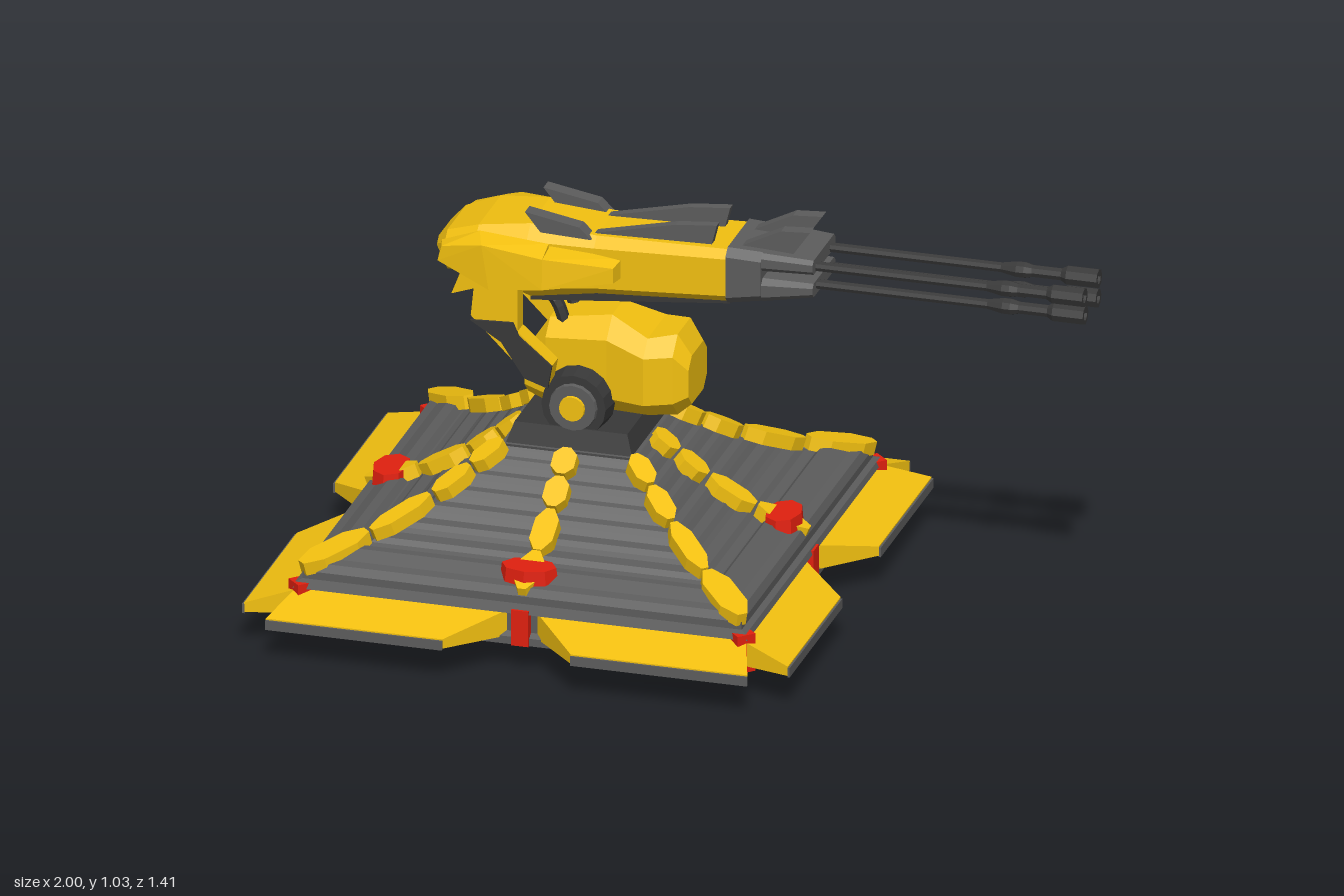
import * as THREE from 'three';
import { ConvexGeometry } from 'three/addons/geometries/ConvexGeometry.js';

const mat = (color) => new THREE.MeshStandardMaterial({ color, flatShading: true });
const V = (x, y, z) => new THREE.Vector3(x, y, z);

export function createModel() {
  const yellow = mat(0xf2c010), grey = mat(0x5c5c5c), dark = mat(0x383838), red = mat(0xe0200f);
  const model = new THREE.Group();
  model.name = 'turret';

  const add = (parent, name, geo, material) => {
    const m = new THREE.Mesh(geo, material);
    m.name = name;
    parent.add(m);
    return m;
  };
  const hull = (parent, name, pts, material) =>
    add(parent, name, new ConvexGeometry(pts.map((p) => V(...p))), material);

  // square stepped solid from [half width, y] points, bottom to top
  const squareLathe = (parent, name, profile, material) =>
    add(parent, name, new THREE.LatheGeometry(
      profile.map(([r, y]) => new THREE.Vector2(r * Math.SQRT2, y)), 4, Math.PI / 4), material);

  // chamfered box loft along x from [x, bottom, top, half width, chamfer]
  const loft = (parent, name, sections, material) => {
    const rings = sections.map(([x, y0, y1, w, c]) => [
      [y1, c - w], [y1, w - c], [y1 - c, w], [y0 + c, w],
      [y0, w - c], [y0, c - w], [y0 + c, -w], [y1 - c, -w]].map(([y, z]) => V(x, y, z)));
    const pts = [], last = rings[rings.length - 1];
    for (let k = 0; k < rings.length - 1; k++) for (let i = 0; i < 8; i++) {
      const j = (i + 1) % 8, a = rings[k], b = rings[k + 1];
      pts.push(a[i], a[j], b[i], a[j], b[j], b[i]);
    }
    for (let i = 1; i < 7; i++) {
      pts.push(last[0], last[i], last[i + 1], rings[0][0], rings[0][i + 1], rings[0][i]);
    }
    const g = new THREE.BufferGeometry().setFromPoints(pts);
    g.computeVertexNormals();
    return add(parent, name, g, material);
  };

  // side profile in xy given a thickness from z0 to z1
  const slab = (parent, name, outline, z0, z1, material) => {
    const g = new THREE.ExtrudeGeometry(
      new THREE.Shape(outline.map(([x, y]) => new THREE.Vector2(x, y))),
      { depth: z1 - z0, bevelEnabled: false });
    g.translate(0, 0, z0);
    return add(parent, name, g, material);
  };

  // ---- base ----
  const base = new THREE.Group();
  base.name = 'base';
  base.position.x = -0.295;
  model.add(base);

  squareLathe(base, 'underside', [[0, 0], [0.415, 0], [0.58, 0.07], [0, 0.07]], dark);
  squareLathe(base, 'skirt', [[0.58, 0.07], [0.58, 0.09], [0.565, 0.1], [0.565, 0.15], [0.585, 0.155],
    [0.58, 0.17], [0.565, 0.175], [0.565, 0.195], [0.555, 0.215], [0.53, 0.22], [0.495, 0.24],
    [0.47, 0.24], [0.455, 0.225], [0, 0.225]], grey);
  const steps = [[0.45, 0.225]];
  const treads = [[0.43, 0.245], [0.375, 0.27], [0.325, 0.3], [0.28, 0.33], [0.24, 0.36], [0.2, 0.39], [0.165, 0.42]];
  treads.forEach(([r, y], i) => {
    const next = treads[i + 1] || [0.16, 0.42];
    steps.push([r, y - 0.012], [r - 0.012, y], [next[0] + 0.012, y + 0.004]);
  });
  squareLathe(base, 'steppedPyramid', [...steps, [0, 0.42]], grey);
  squareLathe(base, 'pedestal', [[0.165, 0.415], [0.16, 0.43], [0.145, 0.475], [0, 0.475]], dark);

  // raised hexagonal bead running down the slope
  const bead = (parent, [d0, y0], [d1, y1], w, k, name) => {
    const a = V(0, y0, d0 * k), b = V(0, y1, d1 * k), dir = b.clone().sub(a);
    const n = V(0, -dir.z, dir.y).normalize();
    if (n.y < 0) n.negate();
    const pts = [];
    for (const [t, x] of [[0, 0.35], [0.25, 1], [0.75, 1], [1, 0.35]]) for (const s of [-1, 1])
      for (const h of [-0.015, 0.02])
        pts.push(a.clone().addScaledVector(dir, t).addScaledVector(n, h).add(V(s * x * w, 0, 0)).toArray());
    hull(parent, name, pts, yellow);
  };
  const beads = [[[0.565, 0.2], [0.435, 0.25]], [[0.425, 0.25], [0.31, 0.313]],
    [[0.3, 0.318], [0.23, 0.37]], [[0.225, 0.375], [0.165, 0.42]]];

  for (let q = 0; q < 4; q++) {
    const side = new THREE.Group(), corner = new THREE.Group();
    side.name = 'baseSide';
    corner.name = 'baseCorner';
    side.rotation.y = q * Math.PI / 2;
    corner.rotation.y = side.rotation.y + Math.PI / 4;
    base.add(side, corner);
    beads.forEach(([a, b], i) => {
      bead(side, a, b, 0.03, 1, 'sideBead');
      bead(corner, a, b, i ? 0.028 : 0.038, Math.SQRT2, 'cornerBead');
    });
    add(side, 'redKey', new THREE.BoxGeometry(0.045, 0.095, 0.04), red).position.set(0, 0.118, 0.568);
    add(corner, 'redCornerKey', new THREE.BoxGeometry(0.05, 0.1, 0.05), red).position.set(0, 0.12, 0.8);
    const lamp = add(side, 'redLamp', new THREE.CylinderGeometry(0.07, 0.075, 0.04, 8), red);
    lamp.scale.z = 0.65;
    lamp.position.set(0, 0.235, 0.505);
    // sloping wing panels with a grey rim
    for (const s of [-1, 1]) {
      hull(side, 'wing', [[0.035, 0.085, 0.56], [0.575, 0.085, 0.56], [0.035, 0.155, 0.56], [0.575, 0.155, 0.56],
        [0.165, 0.09, 0.7], [0.62, 0.09, 0.7], [0.165, 0.115, 0.7], [0.62, 0.115, 0.7]]
        .map(([x, y, z]) => [s * x, y, z]), yellow);
      add(side, 'wingRim', new THREE.BoxGeometry(0.455, 0.025, 0.006), grey).position.set(s * 0.3925, 0.099, 0.702);
    }
  }

  // ---- swivel body ----
  const gun = new THREE.Group();
  gun.name = 'gun';
  gun.position.z = -0.01;
  model.add(gun);

  loft(gun, 'swivelBody', [[-0.44, 0.51, 0.63, 0.07, 0.03], [-0.38, 0.49, 0.72, 0.09, 0.04],
    [-0.22, 0.49, 0.745, 0.1, 0.05], [-0.12, 0.5, 0.705, 0.12, 0.04],
    [-0.05, 0.5, 0.715, 0.1, 0.045], [-0.015, 0.53, 0.66, 0.08, 0.03]], yellow);

  for (const s of [-1, 1]) {
    const disc = (name, r, w, z, material) => {
      const m = add(gun, name, new THREE.CylinderGeometry(r * 0.92, r, w, 16), material);
      m.rotation.x = s * Math.PI / 2;
      m.position.set(-0.29, 0.53, s * z);
    };
    disc('pivotWheel', 0.09, 0.06, 0.12, dark);
    disc('pivotRing', 0.065, 0.02, 0.15, grey);
    disc('pivotHub', 0.035, 0.02, 0.158, yellow);

    // lifting arm with dark outer plate
    const arm = [[-0.55, 0.75], [-0.54, 0.85], [-0.43, 0.85], [-0.43, 0.72], [-0.34, 0.64], [-0.35, 0.585], [-0.4, 0.6]];
    const plate = [[-0.55, 0.74], [-0.44, 0.745], [-0.425, 0.71], [-0.34, 0.64], [-0.35, 0.58], [-0.41, 0.6], [-0.47, 0.69]];
    const zr = (a, b) => (s > 0 ? [a, b] : [-b, -a]);
    slab(gun, 'liftArm', arm, ...zr(0.115, 0.165), yellow);
    slab(gun, 'armPlate', plate, ...zr(0.163, 0.172), dark);
    const path = new THREE.CatmullRomCurve3([V(-0.43, 0.8, s * 0.045), V(-0.37, 0.775, s * 0.05), V(-0.34, 0.7, s * 0.045)]);
    add(gun, 'piston', new THREE.TubeGeometry(path, 8, 0.016, 6), dark);

    // side cheek armour
    hull(gun, 'cheekFront', [[-0.36, 0.83, 0.12], [-0.36, 0.94, 0.12], [-0.36, 0.85, 0.19], [-0.36, 0.93, 0.185],
      [-0.18, 0.87, 0.1], [-0.18, 0.92, 0.1], [-0.19, 0.87, 0.145], [-0.19, 0.91, 0.145]]
      .map(([x, y, z]) => [x, y, s * z]), yellow);
    hull(gun, 'cheekRear', [[-0.36, 0.83, 0.135], [-0.36, 0.95, 0.13], [-0.36, 0.85, 0.19], [-0.36, 0.93, 0.185],
      [-0.5, 0.83, 0.13], [-0.54, 0.96, 0.12], [-0.5, 0.83, 0.18], [-0.52, 0.945, 0.175],
      [-0.64, 0.87, 0.11], [-0.64, 0.92, 0.11], [-0.64, 0.88, 0.15], [-0.63, 0.92, 0.15]]
      .map(([x, y, z]) => [x, y, s * z]), yellow);
    slab(gun, 'rearSpur', [[-0.615, 0.78], [-0.53, 0.81], [-0.5, 0.86], [-0.58, 0.87]], ...zr(0.08, 0.115), yellow);

    // roof fins
    slab(gun, 'rearFin', [[-0.43, 1.015], [-0.39, 0.965], [-0.26, 0.96], [-0.29, 0.99]], ...zr(0.06, 0.1), grey);
    slab(gun, 'middleFin', [[-0.27, 0.965], [0.04, 0.965], [0.055, 1.025], [-0.05, 1.015]], ...zr(0.045, 0.07), grey);
    slab(gun, 'frontFin', [[0.1, 0.97], [0.25, 0.97], [0.295, 1.035], [0.22, 1.03]], ...zr(0.035, 0.07), grey);

    // twin barrels, stepped at the muzzle
    for (const [y, z] of [[0.945, 0.062], [0.895, 0.056]]) {
      const profile = [[0, 0.15], [0.013, 0.15], [0.013, 0.75], [0.021, 0.79], [0.021, 0.81], [0.016, 0.83],
        [0.016, 0.905], [0.025, 0.92], [0.025, 1.0], [0.014, 1.0], [0.014, 0.96], [0, 0.96]];
      const b = add(gun, 'barrel', new THREE.LatheGeometry(profile.map((p) => new THREE.Vector2(...p)), 8), dark);
      b.rotation.z = -Math.PI / 2;
      b.position.set(0, y, s * z);
    }
  }

  // ---- gun head ----
  loft(gun, 'head', [[-0.665, 0.87, 0.905, 0.07, 0.015], [-0.635, 0.83, 0.935, 0.105, 0.025],
    [-0.55, 0.84, 0.965, 0.125, 0.03], [-0.42, 0.785, 0.98, 0.12, 0.035],
    [-0.25, 0.81, 0.967, 0.108, 0.025], [0.095, 0.837, 0.975, 0.11, 0.02]], yellow);
  hull(gun, 'bellyPlate', [-1, 1].flatMap((s) => [[-0.42, 0.775, s * 0.085], [0.095, 0.83, s * 0.09],
    [-0.42, 0.8, s * 0.085], [0.095, 0.85, s * 0.09]]), dark);
  // forked barrel shroud
  loft(gun, 'shroud', [[0.09, 0.833, 0.982, 0.113, 0.02], [0.18, 0.848, 0.978, 0.11, 0.02]], grey);
  loft(gun, 'upperFork', [[0.18, 0.93, 0.978, 0.108, 0.012], [0.31, 0.932, 0.97, 0.098, 0.01]], grey);
  loft(gun, 'lowerFork', [[0.18, 0.848, 0.91, 0.108, 0.015], [0.31, 0.872, 0.908, 0.098, 0.01]], grey);

  return model;
}
